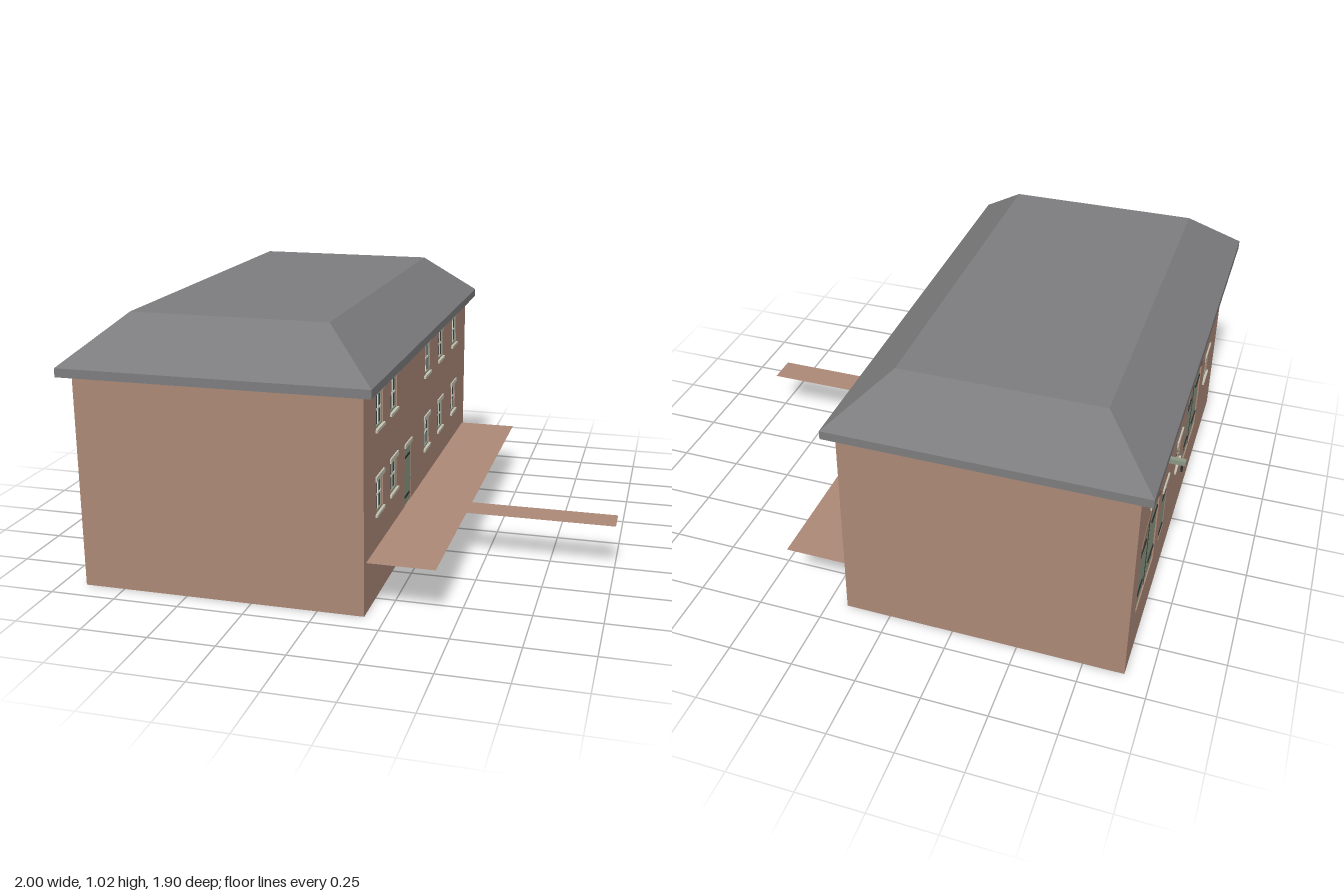
import * as THREE from 'three';

const mat = (name, color, side = THREE.FrontSide) => {
  const m = new THREE.MeshStandardMaterial({ color, side });
  m.name = name;
  return m;
};

export function createModel() {
  const brick = mat('brick', 0xab8876);
  const paving = mat('paving', 0xab8876, THREE.DoubleSide);
  const slate = mat('slate', 0x7c7c7e);
  const green = mat('greenPaint', 0x8b9683);
  const stone = mat('paleStone', 0xc4c2b2);
  const white = mat('whitePaint', 0xdcdcd4);
  const glass = mat('darkGlass', 0x454d50);
  const iron = mat('blackIron', 0x2b2d2c);
  const arch = mat('archBrick', 0x8f6a59);

  const house = new THREE.Group();
  house.name = 'house';
  const X0 = -0.905, X1 = 0.175, CX = (X0 + X1) / 2, Z = 0.91, H = 0.82, T = 0.02;

  const add = (parent, name, geo, material, x = 0, y = 0, z = 0) => {
    const m = new THREE.Mesh(geo, material);
    m.name = name;
    m.position.set(x, y, z);
    parent.add(m);
    return m;
  };
  const box = (parent, name, material, w, h, d, x, y, z) =>
    add(parent, name, new THREE.BoxGeometry(w, h, d), material, x, y, z);

  // Outline of an opening; rise > 0 gives it an arched head
  const trace = (path, o) => {
    const a = o.u - o.w / 2, b = o.u + o.w / 2, rise = o.rise || 0;
    path.moveTo(a, o.y0);
    path.lineTo(b, o.y0);
    path.lineTo(b, o.y1);
    if (rise) path.quadraticCurveTo(o.u, o.y1 + 2 * rise, a, o.y1);
    else path.lineTo(a, o.y1);
    path.lineTo(a, o.y0);
    return path;
  };

  // Window: pane, green frame, white glazing bars, stone lintel and sill
  const fillWindow = (wall, o) => {
    const g = new THREE.Group();
    g.name = 'window';
    g.position.set(o.u, (o.y0 + o.y1) / 2, 0);
    wall.add(g);
    const h = o.y1 - o.y0, w = o.w, f = 0.008;
    box(g, 'pane', glass, w, h, 0.004, 0, 0, -0.01);
    for (const s of [-1, 1]) {
      box(g, 'frameJamb', green, f, h, 0.014, s * (w - f) / 2, 0, -0.01);
      box(g, 'frameRail', green, w - 2 * f, f, 0.014, 0, s * (h - f) / 2, -0.01);
    }
    box(g, 'uprightBar', white, 0.008, h - 2 * f, 0.01, 0, 0, -0.01);
    box(g, 'crossBar', white, w - 2 * f, 0.007, 0.0096, 0, 0, -0.01);
    box(g, 'lintel', stone, w + 0.022, 0.018, 0.012, 0, h / 2 + 0.009, 0);
    box(g, 'sill', stone, w + 0.022, 0.011, 0.014, 0, -h / 2 - 0.0055, 0.001);
  };

  // Single door with two strap hinges
  const fillDoor = (wall, o) => {
    box(wall, 'door', green, o.w, o.y1 - o.y0, 0.012, o.u, (o.y0 + o.y1) / 2, -0.008);
    for (const y of [0.23, 0.395])
      box(wall, 'strapHinge', iron, 0.075, 0.007, 0.004, o.u - 0.012, y, 0);
    box(wall, 'doorLintel', stone, o.w + 0.014, 0.016, 0.012, o.u, o.y1 + 0.008, 0);
  };

  // Pair of arched cart doors under a brick arch
  const fillCartDoor = (wall, o) => {
    const leaf = new THREE.ExtrudeGeometry(trace(new THREE.Shape(), o),
      { depth: 0.01, bevelEnabled: false, curveSegments: 10 });
    add(wall, 'cartDoor', leaf, green, 0, 0, -0.015);
    box(wall, 'leafGap', iron, 0.005, o.y1 + o.rise - o.y0, 0.013, o.u, (o.y0 + o.y1 + o.rise) / 2, -0.01);
    for (const s of [-1, 1])
      for (const y of [0.26, 0.45])
        box(wall, 'strapHinge', iron, 0.1, 0.009, 0.004, o.u + s * 0.1, y, -0.003);
    const band = new THREE.Shape(), a = o.w / 2, t = 0.022;
    band.moveTo(o.u + a, o.y1);
    band.lineTo(o.u + a + 0.012, o.y1 + t * 0.8);
    band.quadraticCurveTo(o.u, o.y1 + 2 * o.rise + t * 1.2, o.u - a - 0.012, o.y1 + t * 0.8);
    band.lineTo(o.u - a, o.y1);
    band.quadraticCurveTo(o.u, o.y1 + 2 * o.rise, o.u + a, o.y1);
    add(wall, 'brickArch', new THREE.ExtrudeGeometry(band,
      { depth: 0.003, bevelEnabled: false, curveSegments: 10 }), arch);
  };

  // Loading hatch with stone sill
  const fillHatch = (wall, o) => {
    box(wall, 'hatch', green, o.w, o.y1 - o.y0, 0.012, o.u, (o.y0 + o.y1) / 2, -0.01);
    box(wall, 'hatchGap', iron, 0.004, o.y1 - o.y0, 0.014, o.u, (o.y0 + o.y1) / 2, -0.01);
    for (const s of [-1, 1])
      for (const y of [0.63, 0.71])
        box(wall, 'strapHinge', iron, 0.038, 0.006, 0.004, o.u + s * 0.038, y, -0.003);
    box(wall, 'hatchSill', stone, o.w + 0.02, 0.01, 0.012, o.u, o.y0 - 0.005, 0);
    box(wall, 'hatchLintel', arch, o.w + 0.02, 0.018, 0.008, o.u, o.y1 + 0.009, 0);
  };

  // Long wall: outer face at local z = 0, pierced by its openings
  const longWall = (name, x, turn, openings) => {
    const wall = new THREE.Group();
    wall.name = name;
    wall.position.x = x;
    wall.rotation.y = turn;
    house.add(wall);
    const s = trace(new THREE.Shape(), { u: 0, w: 2 * Z, y0: 0, y1: H });
    for (const o of openings) {
      s.holes.push(trace(new THREE.Path(), o));
      o.fill(wall, o);
    }
    add(wall, 'brickwork', new THREE.ExtrudeGeometry(s,
      { depth: T, bevelEnabled: false, curveSegments: 10 }), brick, 0, 0, -T);
    return wall;
  };
  const upper = u => ({ u, w: 0.094, y0: 0.643, y1: 0.772, fill: fillWindow });
  const lower = u => ({ u, w: 0.094, y0: 0.325, y1: 0.45, fill: fillWindow });
  const door = u => ({ u, w: 0.104, y0: 0.195, y1: 0.436, fill: fillDoor });
  const cart = u => ({ u, w: 0.32, y0: 0.19, y1: 0.49, rise: 0.055, fill: fillCartDoor });

  const cols = [-0.695, -0.487, 0.085, 0.355, 0.645];
  longWall('doorSideWall', X1, Math.PI / 2, [...cols.map(upper), ...cols.map(lower), door(-0.255)]);

  const yardWall = longWall('yardSideWall', X0, -Math.PI / 2, [
    ...[-0.05, 0.28, 0.623].map(upper), ...[-0.05, 0.623].map(lower),
    door(-0.34), cart(-0.636), cart(0.285),
    { u: -0.625, w: 0.12, y0: 0.6, y1: 0.745, fill: fillHatch },
  ]);

  // Hoist above the hatch
  box(yardWall, 'hoistBeam', green, 0.018, 0.018, 0.095, -0.635, 0.778, 0.0475);
  box(yardWall, 'hoistHook', iron, 0.007, 0.032, 0.007, -0.635, 0.755, 0.083);

  // Plain end walls
  for (const s of [-1, 1])
    box(house, 'endWall', brick, X1 - X0 - 2 * T, H, T, CX, H / 2, s * (Z - T / 2));

  // Eaves slab and hipped roof with a flat top
  const RX = 1.165, RZ = 1.9, cx = -0.3675;
  box(house, 'eaves', slate, RX, 0.033, RZ, cx, 0.8275, 0);
  const roof = new THREE.BoxGeometry(RX, 0.175, RZ);
  const p = roof.attributes.position;
  for (let i = 0; i < p.count; i++)
    if (p.getY(i) > 0) {
      p.setX(i, Math.sign(p.getX(i)) * 0.377);
      p.setZ(i, Math.sign(p.getZ(i)) * 0.745);
    }
  roof.computeVertexNormals();
  add(house, 'hippedRoof', roof, slate, cx, 0.9315, 0);

  // Raised terrace and footpath
  const flat = (name, x0, x1, z0, z1) => {
    const g = new THREE.PlaneGeometry(x1 - x0, z1 - z0).rotateX(-Math.PI / 2);
    add(house, name, g, paving, (x0 + x1) / 2, 0.194, (z0 + z1) / 2);
  };
  flat('terrace', X1, 0.425, -0.887, 0.883);
  flat('footpath', 0.425, 1, 0.19, 0.312);

  return house;
}
